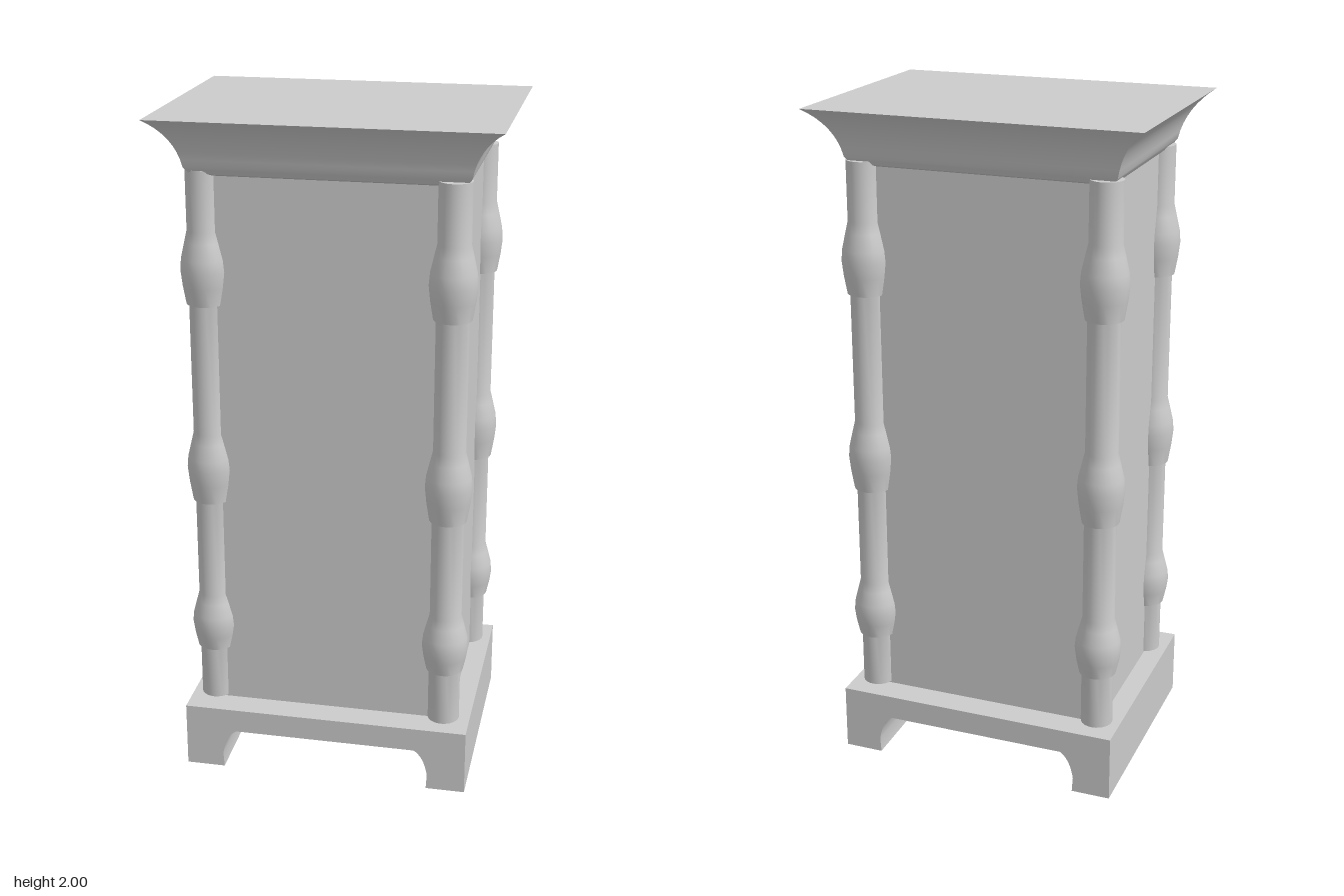
import * as THREE from 'three';
import { toCreasedNormals } from 'three/addons/utils/BufferGeometryUtils.js';

const material = new THREE.MeshStandardMaterial({ color: 0xcccccc });

function addMesh(group, geometry, name) {
  const mesh = new THREE.Mesh(geometry, material);
  mesh.name = name;
  group.add(mesh);
  return mesh;
}

// Plinth with an arched cut-out running front to back
function plinthGeometry() {
  const s = new THREE.Shape();
  s.moveTo(-0.432, 0);
  s.lineTo(-0.315, 0);
  s.lineTo(-0.318, 0.045);
  s.quadraticCurveTo(-0.308, 0.108, -0.276, 0.127);
  s.lineTo(0.276, 0.127);
  s.quadraticCurveTo(0.308, 0.108, 0.318, 0.045);
  s.lineTo(0.315, 0);
  s.lineTo(0.432, 0);
  s.lineTo(0.432, 0.2);
  s.lineTo(-0.432, 0.2);
  const geo = new THREE.ExtrudeGeometry(s, { depth: 0.706, bevelEnabled: false, curveSegments: 8 });
  geo.translate(0, 0, -0.353);
  return toCreasedNormals(geo, 0.5);
}

// Turned post: a plain shaft with three swellings
function postGeometry() {
  const r = 0.0475;
  const pts = [[0, 0.205], [r, 0.205]];
  for (const [bottom, middle, top] of [[0.37, 0.45, 0.55], [0.855, 0.96, 1.07], [1.46, 1.56, 1.675]]) {
    const up = top - middle, down = middle - bottom;
    pts.push([r, bottom], [0.055, bottom + 0.002], [0.064, middle - down * 0.45], [0.069, middle],
      [0.066, middle + up * 0.3], [0.055, middle + up * 0.72], [r, top]);
  }
  pts.push([r, 1.85], [0, 1.85]);
  const geo = new THREE.LatheGeometry(pts.map(([x, y]) => new THREE.Vector2(x, y)), 24);
  return toCreasedNormals(geo, 0.5);
}

// Flaring cornice: rectangular rings joined by mitred strips
function corniceGeometry() {
  const curve = new THREE.QuadraticBezierCurve(
    new THREE.Vector2(-0.092, 1.86), new THREE.Vector2(-0.075, 1.95), new THREE.Vector2(0, 2));
  const profile = [[-0.12, 1.835], [-0.107, 1.84], [-0.098, 1.852],
    ...curve.getPoints(8).map((p) => [p.x, p.y])];
  const rings = profile.map(([inset, y]) => {
    const x = 0.491 + inset, z = 0.372 + inset * 0.85;
    return [[x, y, z], [x, y, -z], [-x, y, -z], [-x, y, z]];
  });
  const pos = [];
  const quad = (a, b, c, d) => pos.push(...a, ...b, ...c, ...a, ...c, ...d);
  for (let i = 0; i < rings.length - 1; i++) {
    for (let k = 0; k < 4; k++) {
      const n = (k + 1) % 4;
      quad(rings[i][k], rings[i][n], rings[i + 1][n], rings[i + 1][k]);
    }
  }
  quad(...rings[rings.length - 1]);
  quad(...[...rings[0]].reverse());
  const geo = new THREE.BufferGeometry();
  geo.setAttribute('position', new THREE.Float32BufferAttribute(pos, 3));
  return toCreasedNormals(geo, 0.5);
}

export function createModel() {
  const model = new THREE.Group();
  model.name = 'pedestal';

  addMesh(model, plinthGeometry(), 'plinth');

  // Plain cabinet body
  const body = addMesh(model, new THREE.BoxGeometry(0.74, 1.645, 0.536), 'body');
  body.position.y = 0.2 + 1.645 / 2;

  // Corner posts, partly sunk into the body
  const post = postGeometry();
  for (const [name, x, z] of [
    ['frontLeftPost', 0.352, 0.265], ['frontRightPost', -0.36, 0.243],
    ['backLeftPost', 0.36, -0.257], ['backRightPost', -0.36, -0.262],
  ]) {
    addMesh(model, post, name).position.set(x, 0, z);
  }

  addMesh(model, corniceGeometry(), 'cornice');
  return model;
}
